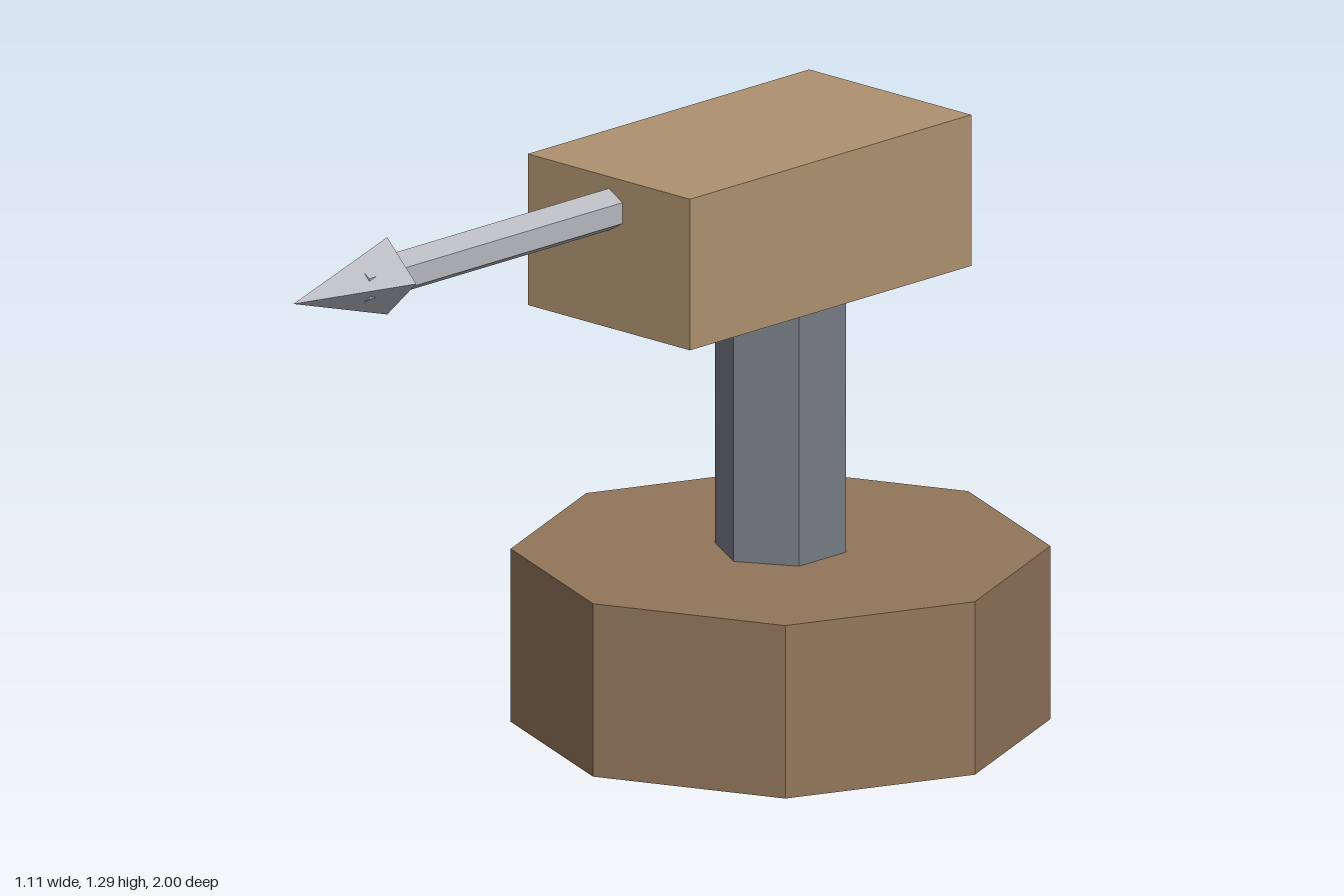
import * as THREE from 'three';

export function createModel() {
  const model = new THREE.Group();

  function addPart(name, geometry, color, y, z) {
    const material = new THREE.MeshStandardMaterial({ color, flatShading: true });
    const mesh = new THREE.Mesh(geometry, material);
    mesh.name = name;
    mesh.position.set(0, y, z);
    model.add(mesh);
  }

  const wood = 0x92765b, paleWood = 0xae9270, iron = 0x787c85, steel = 0xb8babf;
  const axisZ = -0.444;

  // Octagonal base and hexagonal post, each with a corner facing front
  addPart('base', new THREE.CylinderGeometry(0.556, 0.556, 0.372, 8), wood, 0.186, axisZ);
  addPart('post', new THREE.CylinderGeometry(0.139, 0.139, 0.6, 6), iron, 0.667, axisZ);

  // Block carried on the post
  addPart('head', new THREE.BoxGeometry(0.464, 0.325, 0.834), paleWood, 1.118, -0.352);

  // Bolt pointing forward: the shaft ends inside the four-sided tip
  const shaft = new THREE.CylinderGeometry(0.045, 0.045, 0.795, 6).rotateX(Math.PI / 2);
  addPart('boltShaft', shaft, steel, 1.21, 0.4175);
  const tip = new THREE.ConeGeometry(0.083, 0.278, 4).rotateX(Math.PI / 2);
  addPart('boltTip', tip, steel, 1.21, 0.861);

  return model;
}
